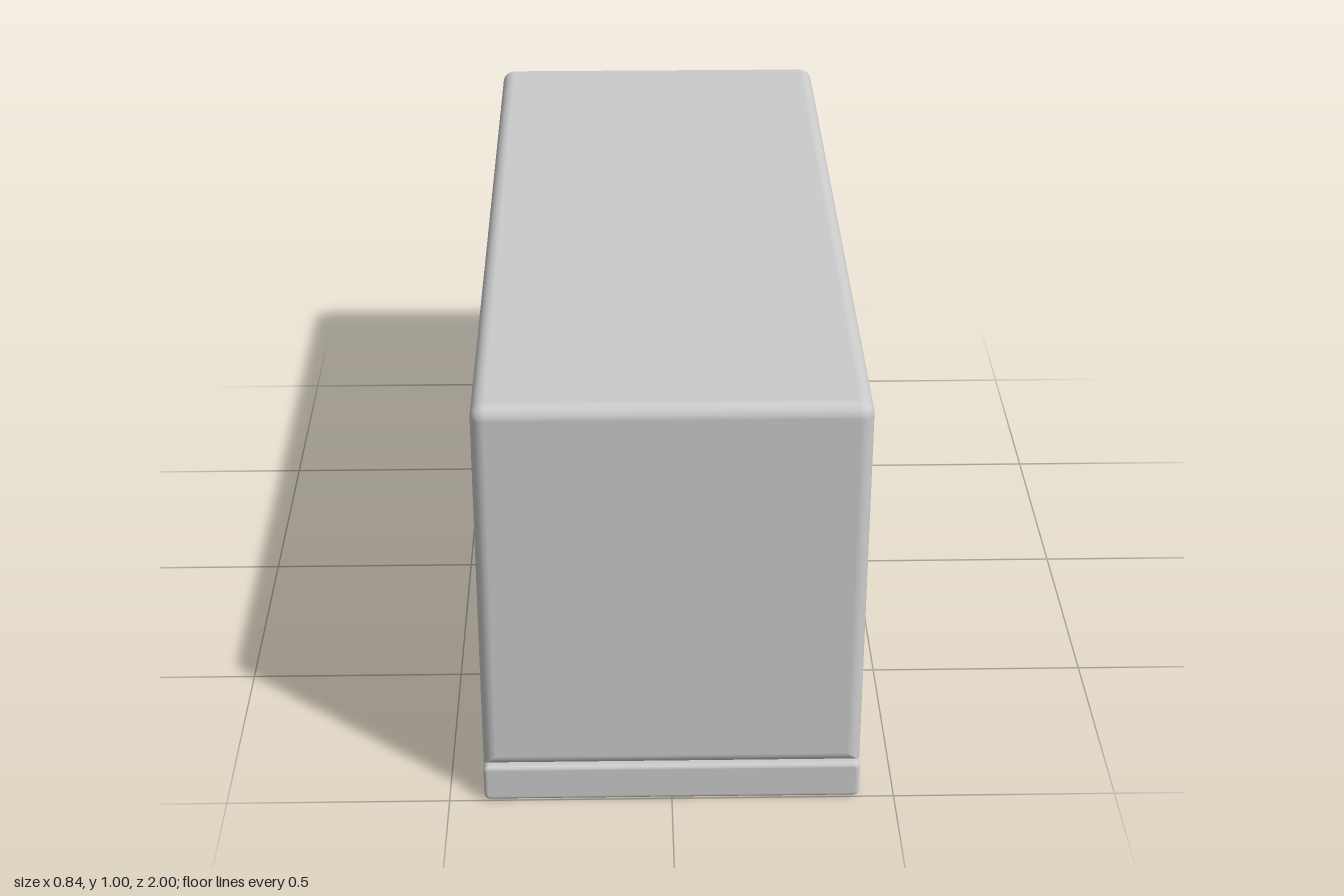
import * as THREE from 'three';

const material = new THREE.MeshStandardMaterial({ color: 0xcccccc, roughness: 0.7 });
const STEPS = 8;
const HALF_PI = Math.PI / 2;

// Cross-section loop in x/y, counter-clockwise from the bottom +x corner.
// Each point carries its normal; t tilts the normal towards +-z.
function section(b, { z, inset, t, dent = 0 }) {
  const w = b.halfWidth - inset, y0 = b.y0 + inset, y1 = b.y1 - inset;
  const corners = [[1, y0, b.rBottom], [1, y1, b.rTop], [-1, y1, b.rTop], [-1, y0, b.rBottom]];
  const points = [];
  const add = (x, y, a) => points.push({
    p: new THREE.Vector3(x, y, z),
    n: new THREE.Vector3(Math.cos(a) * Math.cos(t), Math.sin(a) * Math.cos(t), Math.sin(t)),
  });
  corners.forEach(([sx, cy, radius], c) => {
    const r = Math.max(radius - inset, 0);
    const shift = c === 1 ? dent : 0;
    const cx = sx * (w - r) - shift;
    const my = cy === y0 ? y0 + r : y1 - r;
    for (let s = 0; s <= STEPS; s++) {
      const a = (c - 1 + s / STEPS) * HALF_PI;
      add(cx + r * Math.cos(a), my + r * Math.sin(a), a);
    }
    // ledge at the foot of the side slot
    if (c === 0 && b.slot) {
      add(w, b.slot.y, 0);
      add(w, b.slot.y, HALF_PI);
      add(w - dent, b.slot.y, HALF_PI);
      add(w - dent, b.slot.y, 0);
    }
  });
  points.push(points[0]);
  return points;
}

// Block along z with its own edge radius at top, bottom, front and back.
function block(name, b) {
  const rings = [];
  const fillet = (r, zEdge, from) => {
    for (let s = 0; s <= STEPS; s++) {
      const t = (from + s / STEPS) * HALF_PI;
      rings.push({ z: zEdge + r * Math.sin(t), inset: r * (1 - Math.cos(t)), t });
    }
  };
  fillet(b.rBack, b.z0 + b.rBack, -1);
  if (b.slot) {
    const { z0, z1, depth } = b.slot;
    for (const [z, t, dent] of [
      [z0, 0, 0], [z0, HALF_PI, 0], [z0, HALF_PI, depth], [z0, 0, depth],
      [z1, 0, depth], [z1, -HALF_PI, depth], [z1, -HALF_PI, 0], [z1, 0, 0],
    ]) rings.push({ z, inset: 0, t, dent });
  }
  if (b.rFront > 0) fillet(b.rFront, b.z1 - b.rFront, 0);
  else rings.push({ z: b.z1, inset: 0, t: 0 });

  const pos = [], nor = [];
  const edge1 = new THREE.Vector3(), edge2 = new THREE.Vector3();
  const tri = (...v) => {
    edge1.subVectors(v[1].p, v[0].p);
    edge2.subVectors(v[2].p, v[0].p);
    if (edge1.cross(edge2).length() < 1e-10) return;
    for (const { p, n } of v) {
      pos.push(p.x, p.y, p.z);
      nor.push(n.x, n.y, n.z);
    }
  };
  const loops = rings.map((ring) => section(b, ring));
  for (let k = 0; k + 1 < loops.length; k++) {
    const A = loops[k], B = loops[k + 1];
    for (let j = 0; j + 1 < A.length; j++) {
      tri(A[j], A[j + 1], B[j + 1]);
      tri(A[j], B[j + 1], B[j]);
    }
  }
  // flat end caps
  for (const [loop, sign] of [[loops[0], -1], [loops[loops.length - 1], 1]]) {
    const n = new THREE.Vector3(0, 0, sign);
    const centre = { p: new THREE.Vector3(0, (b.y0 + b.y1) / 2, loop[0].p.z), n };
    for (let j = 0; j + 1 < loop.length; j++) {
      const u = { p: loop[j].p, n }, v = { p: loop[j + 1].p, n };
      if (sign > 0) tri(centre, u, v);
      else tri(centre, v, u);
    }
  }
  const geometry = new THREE.BufferGeometry();
  geometry.setAttribute('position', new THREE.Float32BufferAttribute(pos, 3));
  geometry.setAttribute('normal', new THREE.Float32BufferAttribute(nor, 3));
  const mesh = new THREE.Mesh(geometry, material);
  mesh.name = name;
  return mesh;
}

export function createModel() {
  const model = new THREE.Group();
  model.name = 'box';
  const halfWidth = 0.422, back = -0.945;

  // Main housing: rounded top and front edges, sharp back
  model.add(block('housing', {
    halfWidth, y0: 0.09, y1: 1, z0: back, z1: 1,
    rTop: 0.032, rBottom: 0, rFront: 0.03, rBack: 0,
  }));

  // Two base panels with a narrow gap between; the front one has a side slot
  const panel = { halfWidth, y0: 0, y1: 0.09, rTop: 0.014, rBottom: 0.014 };
  model.add(block('frontBasePanel', {
    ...panel, z0: -0.085, z1: 1, rFront: 0.01, rBack: 0.01,
    slot: { z0: 0.91, z1: 0.926, y: 0.02, depth: 0.02 },
  }));
  model.add(block('rearBasePanel', { ...panel, z0: back, z1: -0.098, rFront: 0.01, rBack: 0 }));

  // Four round feet on the back
  const footGeometry = new THREE.CylinderGeometry(0.043, 0.043, 0.055, 40).rotateX(HALF_PI);
  for (const x of [-0.29, 0.29]) {
    for (const y of [0.238, 0.858]) {
      const foot = new THREE.Mesh(footGeometry, material);
      foot.name = 'backFoot';
      foot.position.set(x, y, -0.9725);
      model.add(foot);
    }
  }
  return model;
}
